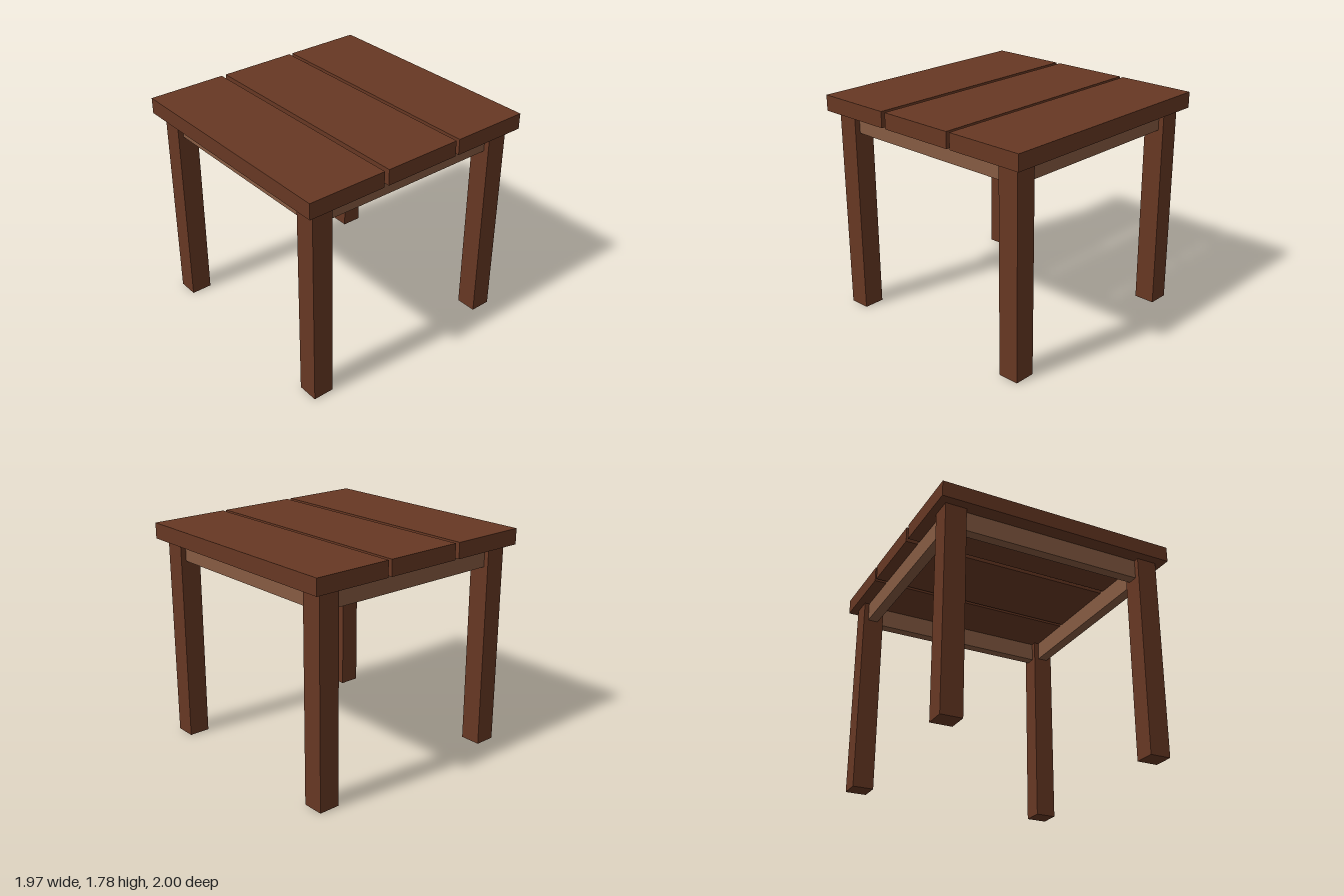
import * as THREE from 'three';

export function createModel() {
  const table = new THREE.Group();
  table.name = 'table';
  const darkWood = new THREE.MeshStandardMaterial({ color: 0x673823 });
  const lightWood = new THREE.MeshStandardMaterial({ color: 0x865b42 });

  // Box given by its minimum and maximum on each axis
  function board(name, [x0, x1], [y0, y1], [z0, z1], material) {
    const mesh = new THREE.Mesh(new THREE.BoxGeometry(x1 - x0, y1 - y0, z1 - z0), material);
    mesh.position.set((x0 + x1) / 2, (y0 + y1) / 2, (z0 + z1) / 2);
    mesh.name = name;
    table.add(mesh);
  }

  // Three top planks with narrow gaps
  const planks = { backPlank: [-1, -0.358], middlePlank: [-0.327, 0.316], frontPlank: [0.355, 1] };
  for (const [name, z] of Object.entries(planks)) {
    board(name, [-0.985, 0.985], [1.653, 1.78], z, darkWood);
  }

  // Square legs
  const legX = { Right: [-0.926, -0.756], Left: [0.747, 0.917] };
  const legZ = { front: [0.755, 0.926], back: [-0.929, -0.758] };
  for (const [side, x] of Object.entries(legX)) {
    for (const [end, z] of Object.entries(legZ)) {
      board(`${end}${side}Leg`, x, [0, 1.653], z, darkWood);
    }
  }

  // Apron rails running between the legs, rising slightly into the planks
  const railY = [1.497, 1.664];
  board('rightApron', [-0.888, -0.804], railY, [-0.758, 0.755], lightWood);
  board('leftApron', [0.788, 0.872], railY, [-0.758, 0.755], lightWood);
  board('frontApron', [-0.756, 0.747], railY, [0.8, 0.882], lightWood);
  board('backApron', [-0.756, 0.747], railY, [-0.885, -0.803], lightWood);

  return table;
}
